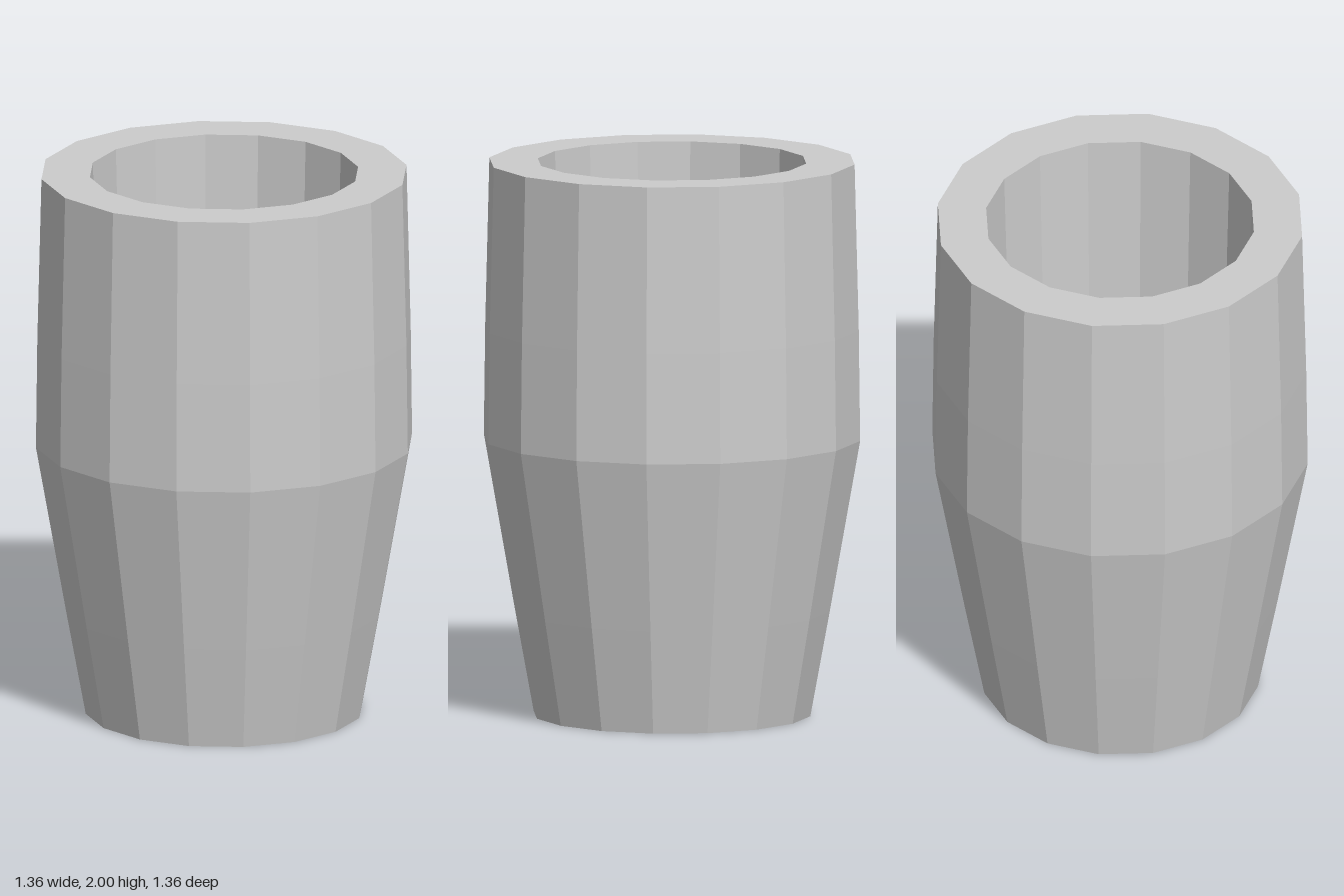
import * as THREE from 'three';

const SIDES = 16;

// Faceted ring surface turned from [radius, height] pairs
function turned(name, profile, material) {
  const points = profile.map(([r, y]) => new THREE.Vector2(r, y));
  const mesh = new THREE.Mesh(new THREE.LatheGeometry(points, SIDES), material);
  mesh.name = name;
  return mesh;
}

export function createModel() {
  const group = new THREE.Group();
  group.name = 'cup';
  const material = new THREE.MeshStandardMaterial({ color: 0xcccccc, flatShading: true });

  // Closed base and the bulging outer wall, bottom to top
  group.add(turned('base', [[0, 0], [0.5, 0]], material));
  group.add(turned('outerWall', [[0.5, 0], [0.57, 0.38], [0.68, 1], [0.675, 1.4], [0.66, 2]], material));

  // Flat thick rim
  group.add(turned('rim', [[0.66, 2], [0.485, 2]], material));

  // Slightly tapered hollow, closed by a flat floor
  group.add(turned('innerWall', [[0.485, 2], [0.435, 0.2]], material));
  group.add(turned('floor', [[0.435, 0.2], [0, 0.2]], material));

  return group;
}
